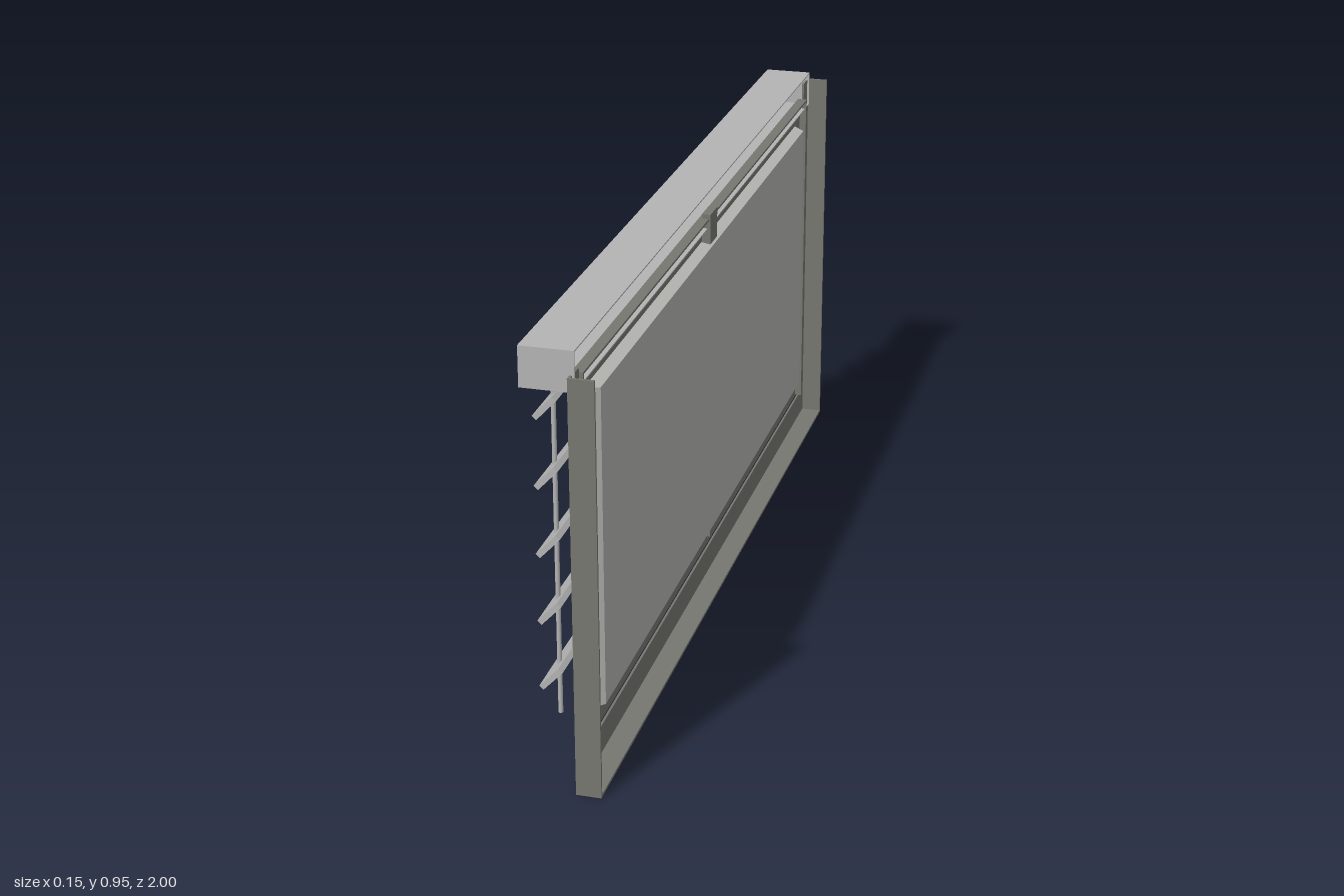
import * as THREE from 'three';

const frameMat = new THREE.MeshStandardMaterial({ color: 0x777771 });
frameMat.name = 'dark frame grey';
const paneMat = new THREE.MeshStandardMaterial({ color: 0xb5b5b2, side: THREE.DoubleSide });
paneMat.name = 'pale pane grey';
const blindMat = new THREE.MeshStandardMaterial({ color: 0xb4b4b4 });
blindMat.name = 'blind grey';

// Box given by its minimum and maximum on each axis
function slab(parent, name, mat, [x0, x1], [y0, y1], [z0, z1]) {
  const mesh = new THREE.Mesh(new THREE.BoxGeometry(x1 - x0, y1 - y0, z1 - z0), mat);
  mesh.position.set((x0 + x1) / 2, (y0 + y1) / 2, (z0 + z1) / 2);
  mesh.name = name;
  parent.add(mesh);
  return mesh;
}

// Same box mirrored to both ends
function span(side, a, b) {
  return side > 0 ? [a, b] : [-b, -a];
}

// Hollow raised pane: four sloped sides and a flat face, open towards the blind
function paneGeometry() {
  const ring = (x, y0, y1, z) => [[x, y0, z], [x, y0, -z], [x, y1, -z], [x, y1, z]];
  const base = ring(0.013, 0.13, 0.836, 0.888);
  const face = ring(0.046, 0.136, 0.83, 0.866);
  const pos = [];
  const quad = (a, b, c, d) => [a, b, c, a, c, d].forEach((p) => pos.push(...p));
  quad(...face);
  for (let i = 0; i < 4; i++) {
    const j = (i + 1) % 4;
    quad(base[i], base[j], face[j], face[i]);
  }
  const geo = new THREE.BufferGeometry();
  geo.setAttribute('position', new THREE.Float32BufferAttribute(pos, 3));
  geo.computeVertexNormals();
  return geo;
}

export function createModel() {
  const model = new THREE.Group();
  model.name = 'windowWithBlind';

  // Outer frame of angle profile: thin outer leg plus flange
  const frame = new THREE.Group();
  frame.name = 'outerFrame';
  slab(frame, 'bottomLeg', frameMat, [0.023, 0.076], [0, 0.006], [-1, 1]);
  slab(frame, 'bottomFlange', frameMat, [0.023, 0.028], [0.006, 0.068], [-0.994, 0.994]);
  for (const side of [1, -1]) {
    const top = side > 0 ? 0.9 : 0.93;
    slab(frame, 'postLeg', frameMat, [0.023, 0.076], [0, top], span(side, 0.994, 1));
    slab(frame, 'postFlange', frameMat, [0.023, 0.028], [0.006, top], span(side, 0.943, 0.994));
  }
  model.add(frame);

  // Sash with its thin rim
  const sash = new THREE.Group();
  sash.name = 'sash';
  slab(sash, 'sashBottomRail', frameMat, [0.013, 0.02], [0.066, 0.13], [-0.945, 0.945]);
  slab(sash, 'sashTopRail', frameMat, [0.013, 0.02], [0.836, 0.89], [-0.945, 0.945]);
  slab(sash, 'sashTopRim', frameMat, [0.02, 0.036], [0.885, 0.89], [-0.942, 0.942]);
  for (const side of [1, -1]) {
    slab(sash, 'sashStile', frameMat, [0.013, 0.02], [0.13, 0.836], span(side, 0.888, 0.945));
    slab(sash, 'sashSideRim', frameMat, [0.02, 0.036], [0.07, 0.885], span(side, 0.937, 0.942));
  }
  slab(sash, 'centreBar', frameMat, [0.02, 0.04], [0.11, 0.9], [-0.029, 0.029]);
  model.add(sash);

  const pane = new THREE.Mesh(paneGeometry(), paneMat);
  pane.name = 'raisedPane';
  model.add(pane);

  // Head rail: a channel open towards the window
  const rail = new THREE.Group();
  rail.name = 'headRail';
  slab(rail, 'railTop', blindMat, [-0.078, 0.033], [0.947, 0.95], [-0.985, 0.985]);
  slab(rail, 'railFloor', blindMat, [-0.078, 0.033], [0.865, 0.868], [-0.985, 0.985]);
  slab(rail, 'railBack', blindMat, [-0.078, -0.075], [0.868, 0.947], [-0.985, 0.985]);
  for (const side of [1, -1]) {
    slab(rail, 'railEnd', blindMat, [-0.075, 0.033], [0.868, 0.947], span(side, 0.982, 0.985));
  }
  model.add(rail);

  // Tilted slats
  const blind = new THREE.Group();
  blind.name = 'blind';
  for (let i = 0; i < 5; i++) {
    const y = 0.809 - i * 0.1465;
    const slat = slab(blind, 'slat', blindMat, [-0.0725, -0.0125], [y - 0.006, y + 0.006], [-0.945, 0.945]);
    slat.rotation.z = 0.82;
  }

  // Lift cords
  for (const side of [1, -1]) {
    const cord = new THREE.Mesh(new THREE.CylinderGeometry(0.005, 0.005, 0.772, 12), blindMat);
    cord.position.set(-0.042, 0.504, side * 0.89);
    cord.name = 'cord';
    blind.add(cord);
  }
  model.add(blind);

  return model;
}
